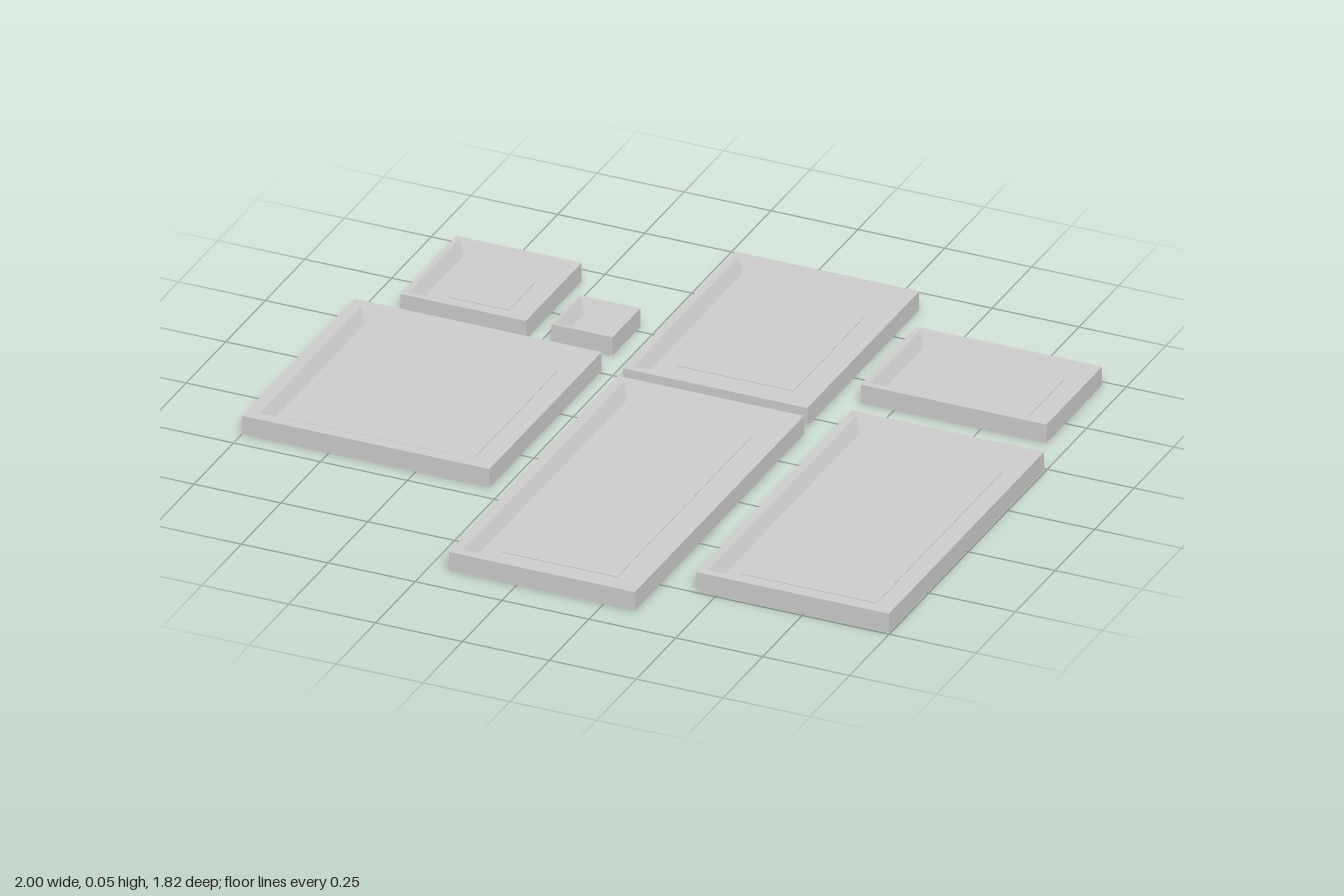
import * as THREE from 'three';

const HEIGHT = 0.055; // frame thickness
const FLOOR = 0.02;   // top of the backing panel
const BEVEL = 0.021;  // horizontal run of the inner slope

// name, [x0, x1, z0, z1] outer bounds, rim width, picture bounds (optional)
const FRAMES = [
  ['smallSquareFrame', [-0.90, -0.54, -0.69, -0.337], 0.015, [-0.805, -0.632, -0.605, -0.43]],
  ['tinySquareFrame', [-0.472, -0.296, -0.525, -0.349], 0.006, null],
  ['backPortraitFrame', [-0.20, 0.33, -0.912, -0.205], 0.02, [-0.104, 0.232, -0.787, -0.333]],
  ['landscapeFrame', [0.404, 0.938, -0.733, -0.381], 0.018, [0.493, 0.851, -0.68, -0.44]],
  ['largeSquareFrame', [-1, -0.288, -0.263, 0.447], 0.035, [-0.909, -0.376, -0.173, 0.355]],
  ['tallFrame', [-0.195, 0.34, -0.162, 0.907], 0.028, [-0.093, 0.237, -0.056, 0.793]],
  ['rightPortraitFrame', [0.441, 0.995, -0.242, 0.74], 0.024, [0.525, 0.915, -0.152, 0.643]],
];

const inset = ([x0, x1, z0, z1], d) => [x0 + d, x1 - d, z0 + d, z1 - d];

// four corners of a rectangle at height y, counter-clockwise from above
const ring = ([x0, x1, z0, z1], y) => [[x0, y, z1], [x1, y, z1], [x1, y, z0], [x0, y, z0]];

// mitred moulding: a closed cross-section swept around the rectangle
function mouldingGeometry(bounds, rim) {
  const inner = inset(bounds, rim + BEVEL);
  const rings = [
    ring(bounds, 0), ring(bounds, HEIGHT), ring(inset(bounds, rim), HEIGHT),
    ring(inner, FLOOR), ring(inner, 0),
  ];
  const positions = [];
  rings.forEach((a, k) => {
    const b = rings[(k + 1) % rings.length];
    for (let i = 0; i < 4; i++) {
      const j = (i + 1) % 4;
      positions.push(...a[i], ...a[j], ...b[j], ...a[i], ...b[j], ...b[i]);
    }
  });
  const geometry = new THREE.BufferGeometry();
  geometry.setAttribute('position', new THREE.Float32BufferAttribute(positions, 3));
  geometry.computeVertexNormals();
  return geometry;
}

// flat panel filling the bounds between two heights
function panelGeometry([x0, x1, z0, z1], bottom, top) {
  return new THREE.BoxGeometry(x1 - x0, top - bottom, z1 - z0)
    .translate((x0 + x1) / 2, (bottom + top) / 2, (z0 + z1) / 2);
}

export function createModel() {
  const model = new THREE.Group();
  model.name = 'pictureFrameSet';
  const material = new THREE.MeshStandardMaterial({ color: 0xcccccc, flatShading: true });

  for (const [name, bounds, rim, picture] of FRAMES) {
    const frame = new THREE.Group();
    frame.name = name;
    const add = (part, geometry) => {
      const mesh = new THREE.Mesh(geometry, material);
      mesh.name = part;
      frame.add(mesh);
    };
    add('moulding', mouldingGeometry(bounds, rim));
    add('backingPanel', panelGeometry(inset(bounds, rim + BEVEL), 0, FLOOR));
    // thin picture lying on the backing
    if (picture) add('picture', panelGeometry(picture, FLOOR - 0.004, FLOOR + 0.002));
    model.add(frame);
  }
  return model;
}
